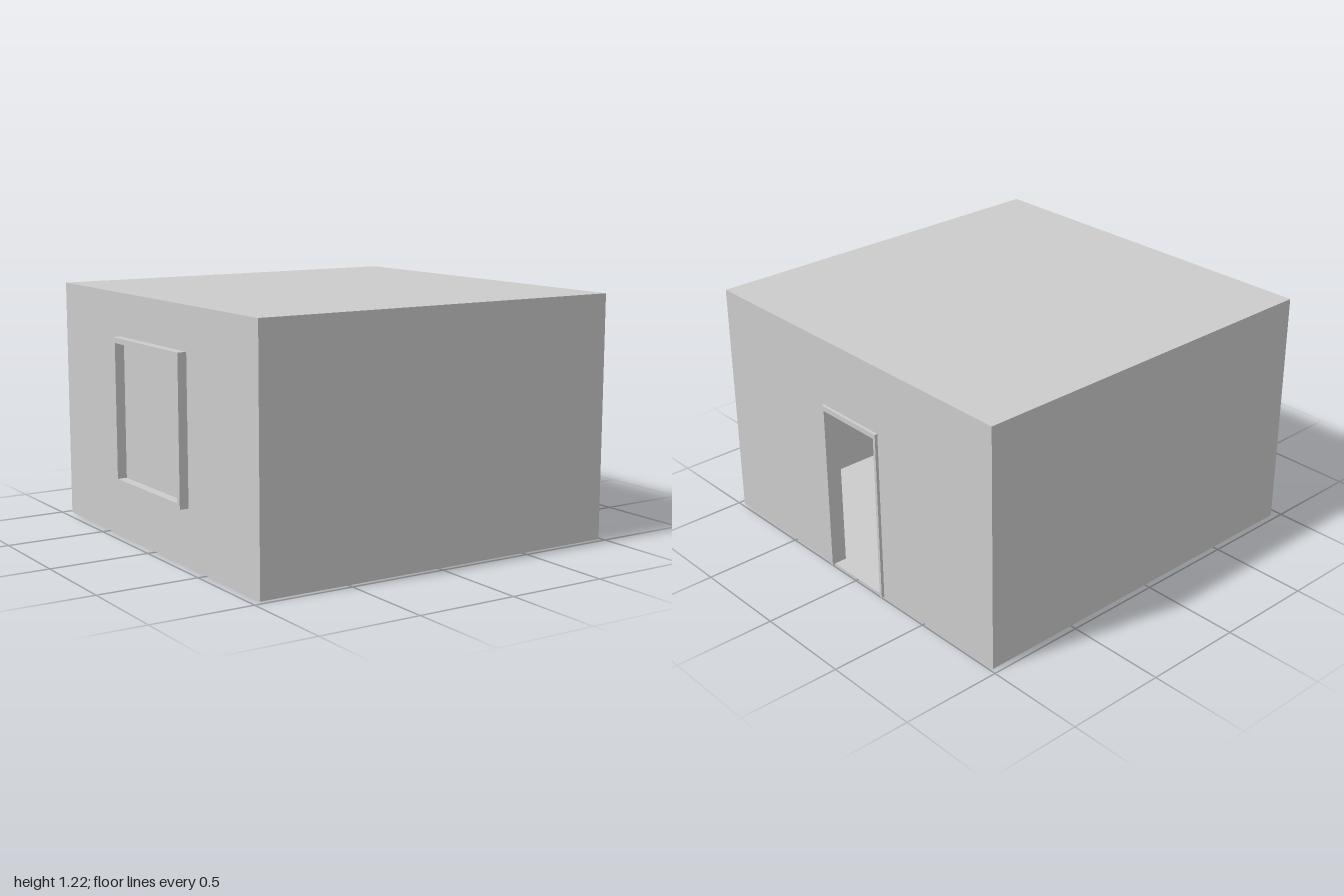
import * as THREE from 'three';

const X0 = -0.955, X1 = 0.985, ZH = 0.97;      // outer wall faces
const WALL = 0.05, H = 1.215, ROOF = 0.013;    // wall thickness, height, roof slab
const CX = (X0 + X1) / 2, XH = (X1 - X0) / 2;
const DOOR = { hw: 0.2, y0: 0, y1: 0.877, trim: 0.015, top: 0.025 };
const WIN = { hw: 0.335, y0: 0.28, y1: 1.002, trim: 0.026 };

const solid = new THREE.MeshStandardMaterial({ color: 0xcccccc, flatShading: true });
const thin = new THREE.MeshStandardMaterial({ color: 0xcccccc, flatShading: true, side: THREE.DoubleSide });

function add(parent, name, geometry, material = solid) {
  const mesh = new THREE.Mesh(geometry, material);
  mesh.name = name;
  parent.add(mesh);
  return mesh;
}

function box(parent, name, x0, x1, y0, y1, z0, z1) {
  const mesh = add(parent, name, new THREE.BoxGeometry(x1 - x0, y1 - y0, z1 - z0));
  mesh.position.set((x0 + x1) / 2, (y0 + y1) / 2, (z0 + z1) / 2);
  return mesh;
}

const poly = (pts, Type = THREE.Shape) => new Type(pts.map(([x, y]) => new THREE.Vector2(x, y)));
const rect = (hw, y0, y1, Type) => poly([[-hw, y0], [hw, y0], [hw, y1], [-hw, y1]], Type);

// Outline of a wall, with a doorway notch or a window hole
function wallShape(hw, opening) {
  const top = H - ROOF;
  if (opening === DOOR) {
    const d = DOOR;
    return poly([[-hw, 0], [-d.hw, 0], [-d.hw, d.y1], [d.hw, d.y1], [d.hw, 0], [hw, 0], [hw, top], [-hw, top]]);
  }
  const shape = rect(hw, 0, top);
  if (opening === WIN) shape.holes.push(rect(WIN.hw, WIN.y0, WIN.y1, THREE.Path));
  return shape;
}

// Extrude a frame outline across a side wall, from x0 to x1
function sideFrame(parent, name, shape, x0, x1) {
  const geo = new THREE.ExtrudeGeometry(shape, { depth: x1 - x0, bevelEnabled: false });
  geo.rotateY(Math.PI / 2).translate(x0, 0, 0);
  return add(parent, name, geo);
}

export function createModel() {
  const room = new THREE.Group();
  room.name = 'room';

  // Hollow walls: an outer and an inner skin, open underneath
  const walls = new THREE.Group();
  walls.name = 'walls';
  room.add(walls);
  for (const [skin, inset] of [['Outer', 0], ['Inner', WALL]]) {
    const xh = XH - inset, zh = ZH - inset;
    const sides = [
      ['front', 0, xh, zh, null],
      ['left', Math.PI / 2, zh, xh, DOOR],
      ['back', Math.PI, xh, zh, null],
      ['right', -Math.PI / 2, zh, xh, WIN],
    ];
    for (const [side, turn, hw, dist, opening] of sides) {
      const geo = new THREE.ShapeGeometry(wallShape(hw, opening));
      geo.translate(0, 0, dist).rotateY(turn).translate(CX, 0, 0);
      add(walls, `${side}Wall${skin}`, geo, thin);
    }
  }

  box(room, 'roof', X0, X1, H - ROOF, H, -ZH, ZH);

  // Thin floor, continued through the doorway
  const floorX = X1 - WALL, doorIn = DOOR.hw - DOOR.trim;
  box(room, 'floor', X0 + WALL, floorX, 0, 0.004, WALL - ZH, ZH - WALL);
  box(room, 'threshold', floorX, X1, 0, 0.004, -doorIn, doorIn);

  // Door frame: two jambs and a head
  const d = DOOR, head = d.y1 - d.top;
  sideFrame(room, 'doorFrame', poly([
    [-d.hw, 0], [-doorIn, 0], [-doorIn, head], [doorIn, head],
    [doorIn, 0], [d.hw, 0], [d.hw, d.y1], [-d.hw, d.y1],
  ]), 0.92, 1);

  // Window frame and its pane
  const w = WIN, inner = [w.hw - w.trim, w.y0 + w.trim, w.y1 - w.trim];
  const frame = rect(w.hw, w.y0, w.y1);
  frame.holes.push(rect(...inner, THREE.Path));
  sideFrame(room, 'windowFrame', frame, -1, -0.895);
  box(room, 'windowPane', -0.952, -0.944, inner[1], inner[2], -inner[0], inner[0]);

  return room;
}
